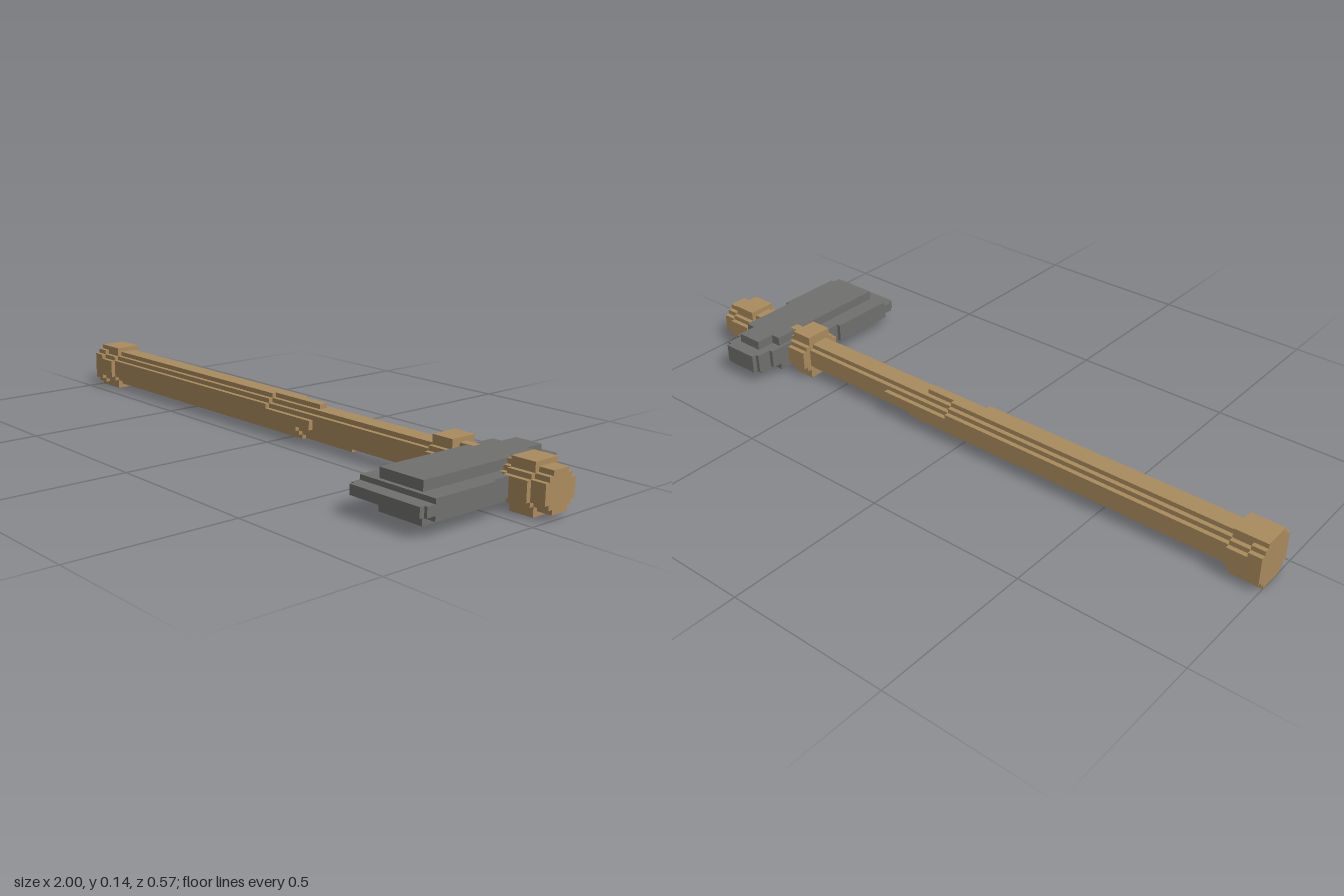
import * as THREE from 'three';

const U = 1 / 70;            // step size of the blocky profile
const CY = 5 * U, CZ = -0.1; // axis of the handle
const HX = 0.783;            // centre of the axe head

export function createModel() {
  const wood = new THREE.MeshStandardMaterial({ color: 0xab8c5e });
  wood.name = 'wood';
  const iron = new THREE.MeshStandardMaterial({ color: 0x70706e });
  iron.name = 'iron';
  const group = new THREE.Group();

  const add = (name, geometry, material) => {
    const mesh = new THREE.Mesh(geometry, material);
    mesh.name = name;
    group.add(mesh);
    return mesh;
  };

  // Bar along x with a stepped cross-section; steps are [half width, half height], narrow to wide
  const bar = (name, x0, x1, steps) => {
    const q = [];
    steps.forEach(([w, h], i) => {
      if (i) q.push([steps[i - 1][0], h]);
      else q.push([0, h]);
      q.push([w, h]);
    });
    const half = [...q, ...q.map(([w, h]) => [w, -h]).reverse()];
    const outline = [...half, ...half.map(([w, h]) => [-w, h]).reverse()];
    const shape = new THREE.Shape(outline.map(([w, h]) => new THREE.Vector2(w * U, h * U)));
    const g = new THREE.ExtrudeGeometry(shape, { depth: x1 - x0, bevelEnabled: false });
    g.rotateY(Math.PI / 2).translate(x0, CY, CZ);
    return add(name, g, wood);
  };

  // Block on the handle, in steps from its axis
  const block = (name, x0, x1, z0, z1, y0, y1) => {
    const g = new THREE.BoxGeometry(x1 - x0, (y1 - y0) * U, (z1 - z0) * U);
    g.translate((x0 + x1) / 2, CY + (y0 + y1) * U / 2, CZ + (z0 + z1) * U / 2);
    return add(name, g, wood);
  };

  // Flat plate of the head; rows are [z, half width], each row reaching to the next z
  const plate = (name, rows, zEnd, halfHeight) => {
    const side = [];
    rows.forEach(([z, w], i) => {
      const next = i + 1 < rows.length ? rows[i + 1][0] : zEnd;
      side.push(new THREE.Vector2(HX + w, -z), new THREE.Vector2(HX + w, -next));
    });
    const mirrored = side.map(p => new THREE.Vector2(2 * HX - p.x, p.y)).reverse();
    const shape = new THREE.Shape([...side, ...mirrored]);
    const h = halfHeight * U;
    const g = new THREE.ExtrudeGeometry(shape, { depth: 2 * h, bevelEnabled: false });
    g.rotateX(-Math.PI / 2).translate(0, CY - h, 0);
    return add(name, g, iron);
  };

  // Handle: slim core and thicker grip
  const thick = [[2, 4], [3, 3], [4, 2]];
  bar('handleCore', -0.99, 0.99, [[2, 3], [3, 2]]);
  bar('grip', -0.995, -0.06, thick);

  // Grip slats ending at uneven lengths
  block('gripTopSlat', -0.06, 0.14, -1, 1, 2, 4);
  block('gripBottomSlat', -0.06, 0.28, -1, 1, -4, -2);
  block('gripFrontSlat', -0.06, 0.14, 2, 4, -1, 1);
  block('gripBackSlat', -0.06, 0.28, -4, -2, -1, 1);
  for (const [sz, sy, end] of [[-1, 1, 0.04], [1, -1, 0.08], [-1, -1, 0.18]]) {
    for (const [a, b] of [[1, 3], [2, 2], [3, 1]]) {
      const z = [sz * a, sz * (a + 1)].sort((m, n) => m - n);
      const y = [sy * b, sy * (b + 1)].sort((m, n) => m - n);
      block('gripCorner', -0.06, end, ...z, ...y);
    }
  }

  // Collars at the butt, below the head and above it
  const wide = [[3, 5], [4, 3], [5, 2]];
  bar('buttCap', -1, -0.96, [[3, 5], [4, 4], [5, 3]]);
  bar('buttCollar', -0.96, -0.9, wide);
  bar('lowerCollar', 0.615, 0.685, wide);
  bar('upperCollar', 0.88, 0.955, wide);
  bar('handleTip', 0.84, 1, thick);
  block('topWedge', 0.685, 0.73, -1, 1, 2, 4.06);

  // Axe head: middle plate, raised cheeks and cutting edge
  plate('headPlate', [[-0.286, 0.058], [-0.271, 0.07], [-0.225, 0.083], [-0.03, 0.115], [0.03, 0.127]], 0.243, 2);
  plate('headCheeks', [[-0.243, 0.042], [-0.185, 0.073]], 0.229, 4);
  plate('cuttingEdge', [[0.2, 0.127], [0.271, 0.118]], 0.286, 1);

  return group;
}
